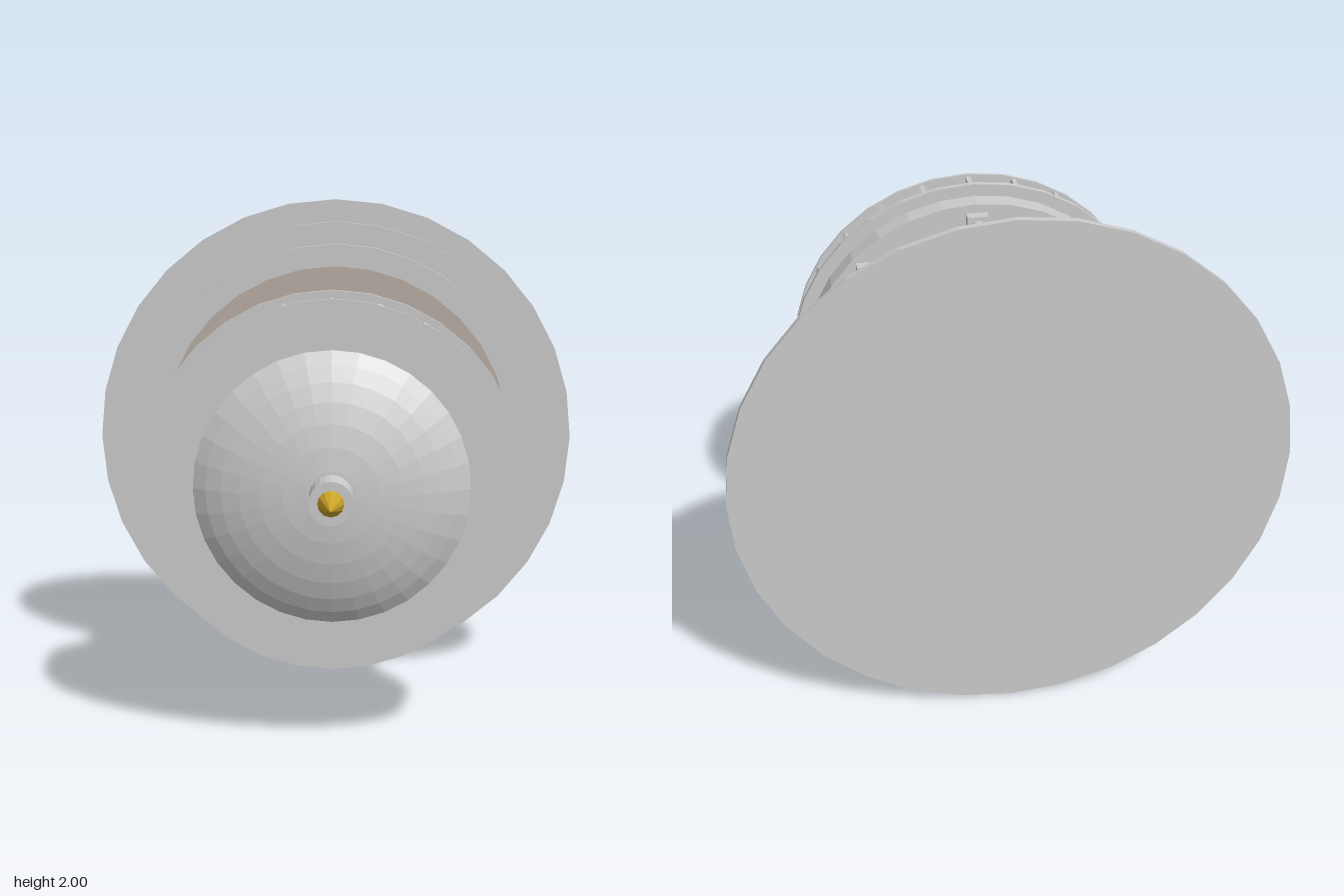
import * as THREE from 'three';

const grey = new THREE.MeshStandardMaterial({ color: 0xcccccc, flatShading: true });
const floorMat = new THREE.MeshStandardMaterial({ color: 0xb8aea4, flatShading: true });
const gold = new THREE.MeshStandardMaterial({ color: 0xc9a227, flatShading: true });

export function createModel() {
  // Round pavilion built upright along y, then tipped so its axis points to +z
  const pavilion = new THREE.Group();
  pavilion.name = 'pavilion';

  function add(name, geometry, x, y, z, material = grey) {
    const mesh = new THREE.Mesh(geometry, material);
    mesh.name = name;
    mesh.position.set(x, y, z);
    pavilion.add(mesh);
    return mesh;
  }
  // Upright disc or drum between two heights
  function drum(name, radius, y0, y1, material = grey, sides = 32) {
    return add(name, new THREE.CylinderGeometry(radius, radius, y1 - y0, sides), 0, (y0 + y1) / 2, 0, material);
  }

  // Stepped base and floor
  drum('baseStep1', 1, -0.71, -0.687);
  drum('baseStep2', 0.91, -0.687, -0.66);
  drum('baseStep3', 0.82, -0.66, -0.632);
  drum('floor', 0.73, -0.632, -0.607, floorMat);

  // Ring of columns with square base and capital blocks
  const columnGeo = new THREE.CylinderGeometry(0.027, 0.03, 0.725, 12);
  const blockGeo = new THREE.BoxGeometry(0.08, 0.04, 0.08);
  for (let i = 0; i < 8; i++) {
    const a = (i * Math.PI) / 4;
    const x = 0.59 * Math.cos(a), z = 0.59 * Math.sin(a);
    add('column', columnGeo, x, -0.2445, z);
    add('columnBase', blockGeo, x, -0.587, z);
    add('columnCapital', blockGeo, x, 0.098, z);
  }

  // Entablature and cornice
  drum('entablature', 0.665, 0.118, 0.193);
  drum('cornice', 0.712, 0.193, 0.213);
  drum('parapetBase', 0.665, 0.213, 0.23);

  // Balustrade posts carrying the roof plate
  const postGeo = new THREE.BoxGeometry(0.018, 0.115, 0.018);
  for (let i = 0; i < 24; i++) {
    const a = (i * Math.PI) / 12;
    add('balusterPost', postGeo, 0.675 * Math.cos(a), 0.27, 0.675 * Math.sin(a)).rotation.y = -a;
  }
  drum('roofPlate', 0.693, 0.325, 0.337);

  // Flattened dome, showing above the plate and below the entablature
  const dome = add('dome', new THREE.SphereGeometry(0.57, 32, 20), 0, 0.225, 0);
  dome.scale.y = 0.25 / 0.57;

  // Finial
  drum('finialBase', 0.08, 0.44, 0.59, grey, 24);
  add('finialSpike', new THREE.ConeGeometry(0.048, 0.12, 12), 0, 0.65, 0, gold);

  pavilion.rotation.x = Math.PI / 2;
  pavilion.position.y = 1;
  const model = new THREE.Group();
  model.name = 'model';
  model.add(pavilion);
  return model;
}
